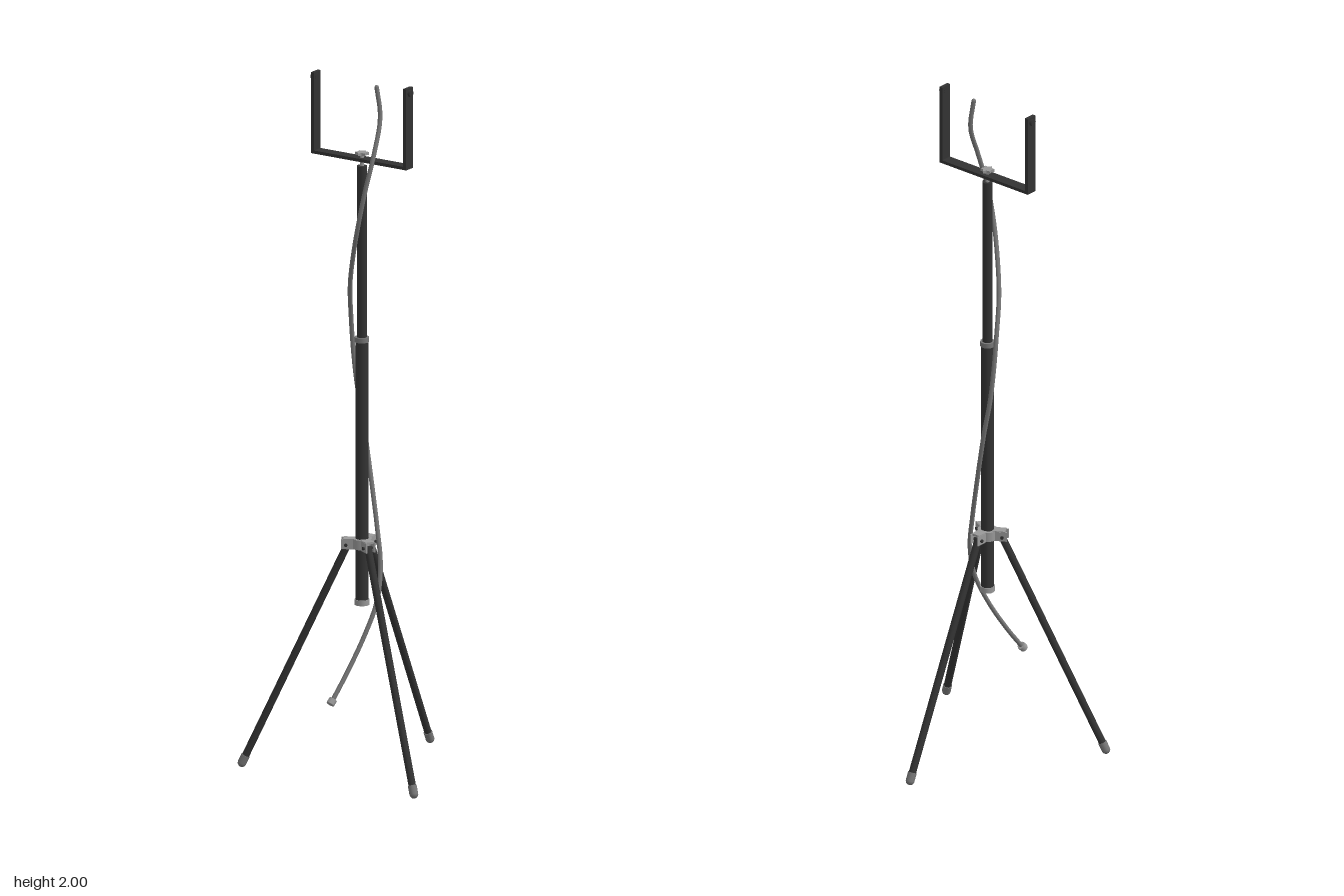
import * as THREE from 'three';

const AXIS_Z = 0.083;
const V = (x, y, z) => new THREE.Vector3(x, y, z);
const mat = (color) => new THREE.MeshStandardMaterial({ color });
const black = mat(0x333333), steel = mat(0x999999), grey = mat(0x777777);

function add(parent, name, geometry, material, x = 0, y = 0, z = 0) {
  const mesh = new THREE.Mesh(geometry, material);
  mesh.name = name;
  mesh.position.set(x, y, z);
  parent.add(mesh);
  return mesh;
}

// Upright cylinder between two heights
function post(parent, name, r, y0, y1, material, sides = 16) {
  return add(parent, name, new THREE.CylinderGeometry(r, r, y1 - y0, sides), material, 0, (y0 + y1) / 2, 0);
}

// Cylinder between two points
function rod(parent, name, a, b, r, material, sides = 12) {
  const dir = b.clone().sub(a);
  const mesh = add(parent, name, new THREE.CylinderGeometry(r, r, dir.length(), sides), material);
  mesh.position.copy(a).add(b).multiplyScalar(0.5);
  mesh.quaternion.setFromUnitVectors(V(0, 1, 0), dir.normalize());
  return mesh;
}

// One leg, pointing along +z before it is turned into place
function makeLeg(angle) {
  const leg = new THREE.Group();
  leg.name = 'leg';
  const top = V(0, 0.652, 0.04), foot = V(0, 0.012, 0.336);
  const at = (t) => top.clone().lerp(foot, t);
  rod(leg, 'legTube', top, at(0.985), 0.0105, black);
  rod(leg, 'footCap', at(0.965), at(1), 0.0125, grey);
  const tip = add(leg, 'footTip', new THREE.SphereGeometry(0.0125, 12, 8), grey);
  tip.position.copy(foot);
  // Hinge bracket: two cheeks, a bridge and a cross pin
  for (const s of [-1, 1]) {
    add(leg, 'hingeCheek', new THREE.BoxGeometry(0.004, 0.028, 0.042), steel, s * 0.0125, 0.655, 0.037);
  }
  add(leg, 'hingeBridge', new THREE.BoxGeometry(0.027, 0.006, 0.036), steel, 0, 0.668, 0.034);
  rod(leg, 'hingePin', V(-0.019, 0.653, 0.044), V(0.019, 0.653, 0.044), 0.005, black, 8);
  leg.rotation.y = angle;
  return leg;
}

// Flat U-shaped cradle
function makeCradle() {
  const cradle = new THREE.Group();
  cradle.name = 'cradle';
  const pts = [[-0.161, 2], [-0.161, 1.765], [0.161, 1.765], [0.161, 2],
    [0.151, 2], [0.151, 1.774], [-0.151, 1.774], [-0.151, 2]];
  const shape = new THREE.Shape(pts.map(([x, y]) => new THREE.Vector2(x, y)));
  const geo = new THREE.ExtrudeGeometry(shape, { depth: 0.033, bevelEnabled: false });
  add(cradle, 'cradleStrap', geo, black, 0, 0, -0.0165);
  for (const s of [-1, 1]) {
    rod(cradle, 'cradleBolt', V(s * 0.15, 1.985, 0), V(s * 0.168, 1.985, 0), 0.01, black, 8);
  }
  return cradle;
}

// Six-pointed clamp knob
function makeKnob() {
  const pts = [];
  for (let i = 0; i < 12; i++) {
    const a = (i * Math.PI) / 6, r = i % 2 ? 0.013 : 0.02;
    pts.push(new THREE.Vector2(Math.sin(a) * r, Math.cos(a) * r));
  }
  return new THREE.ExtrudeGeometry(new THREE.Shape(pts), { depth: 0.008, bevelEnabled: false }).rotateX(-Math.PI / 2);
}

export function createModel() {
  const model = new THREE.Group();
  model.name = 'tripodStand';
  const stand = new THREE.Group();
  stand.name = 'stand';
  stand.position.z = AXIS_Z;
  model.add(stand);

  // Telescopic column
  post(stand, 'lowerColumn', 0.0185, 0.485, 1.25, black);
  post(stand, 'bottomCap', 0.021, 0.478, 0.494, steel);
  post(stand, 'columnCollar', 0.0205, 1.24, 1.254, grey);
  post(stand, 'upperColumn', 0.0145, 1.25, 1.75, black);
  post(stand, 'cradleStud', 0.006, 1.745, 1.785, steel, 10);
  add(stand, 'clampKnob', makeKnob(), steel, 0, 1.782, 0);

  // Hub and legs
  post(stand, 'legHub', 0.028, 0.642, 0.67, steel);
  for (const angle of [Math.PI, Math.PI / 3, -Math.PI / 3]) stand.add(makeLeg(angle));

  stand.add(makeCradle());

  // Cable winding round the column
  const path = [
    [0.05, 1.985, 0.083], [0.062, 1.9, 0.083], [0.067, 1.8, 0.122], [0.055, 1.7, 0.147],
    [0.032, 1.6, 0.147], [0, 1.5, 0.126], [-0.032, 1.4, 0.095], [-0.052, 1.3, 0.061],
    [-0.057, 1.2, 0.043], [-0.05, 1.1, 0.035], [-0.03, 1.0, 0.034], [-0.008, 0.9, 0.041],
    [0.015, 0.8, 0.051], [0.039, 0.7, 0.064], [0.059, 0.6, 0.077], [0.064, 0.5, 0.103],
    [0.047, 0.4, 0.146], [0.026, 0.3, 0.205], [0.014, 0.242, 0.246],
  ].map((p) => V(...p));
  const curve = new THREE.CatmullRomCurve3(path);
  add(model, 'cable', new THREE.TubeGeometry(curve, 72, 0.0065, 8), grey);
  const last = path[path.length - 1];
  const top = add(model, 'cableTopEnd', new THREE.SphereGeometry(0.0065, 8, 6), grey);
  top.position.copy(path[0]);
  rod(model, 'cablePlug', last, V(0.012, 0.23, 0.257), 0.012, steel, 8);

  return model;
}
